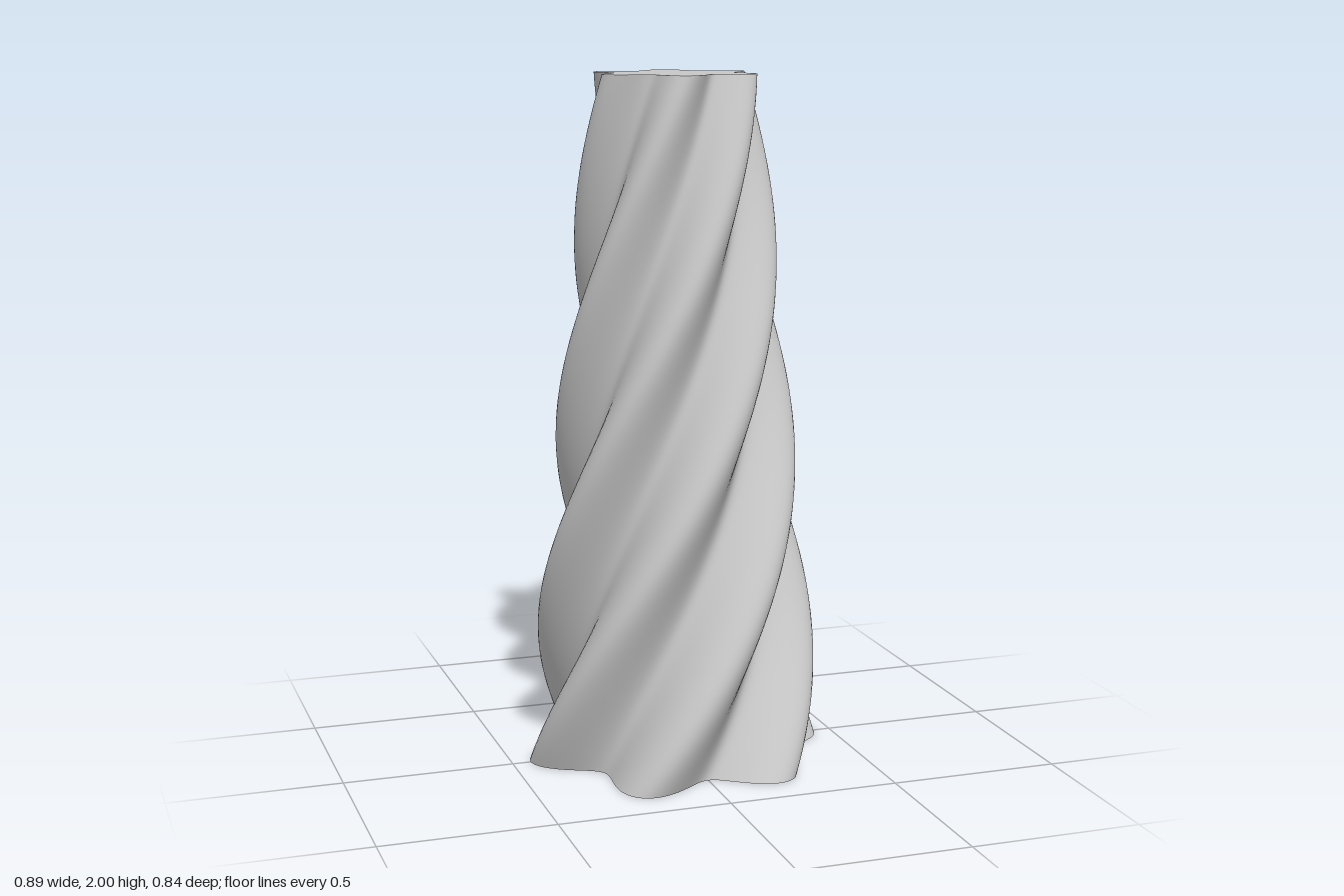
import * as THREE from 'three';
import { mergeVertices } from 'three/addons/utils/BufferGeometryUtils.js';

const HEIGHT = 2, LOBES = 6, BASE_RADIUS = 0.378, TAPER = 0.552, RIPPLE = 0.18;
const TWIST = THREE.MathUtils.degToRad(200);
const SIDES = 180, RINGS = 120;

// Turn a unit-radius shape into the six-lobed, tapering and twisting section
function twistLobes(geometry) {
  const p = geometry.attributes.position;
  for (let i = 0; i < p.count; i++) {
    const x = p.getX(i), y = p.getY(i), z = p.getZ(i);
    const t = y / HEIGHT;
    const angle = Math.atan2(-z, x);
    const r = Math.hypot(x, z) * BASE_RADIUS * (1 + (TAPER - 1) * t)
      * (1 + RIPPLE * Math.cos(LOBES * angle));
    const a = angle + TWIST * t;
    p.setXYZ(i, r * Math.cos(a), y, -r * Math.sin(a));
  }
  return geometry;
}

export function createModel() {
  const model = new THREE.Group();
  model.name = 'twistedColumn';
  const stone = new THREE.MeshStandardMaterial({ color: 0xc8c8c8 });
  stone.name = 'lightGrey';

  const add = (name, geometry) => {
    const mesh = new THREE.Mesh(geometry, stone);
    mesh.name = name;
    model.add(mesh);
  };

  // Fluted wall, welded at the seam so the normals stay smooth
  let wall = new THREE.CylinderGeometry(1, 1, HEIGHT, SIDES, RINGS, true);
  wall.translate(0, HEIGHT / 2, 0);
  wall.deleteAttribute('uv');
  wall.deleteAttribute('normal');
  wall = mergeVertices(twistLobes(wall), 1e-5);
  wall.computeVertexNormals();
  add('flutedShaft', wall);

  // Flat ends
  for (const [name, y, tilt] of [['topCap', HEIGHT, -1], ['bottomCap', 0, 1]]) {
    const cap = new THREE.CircleGeometry(1, SIDES);
    cap.rotateX(tilt * Math.PI / 2).translate(0, y, 0);
    add(name, twistLobes(cap));
  }

  return model;
}
